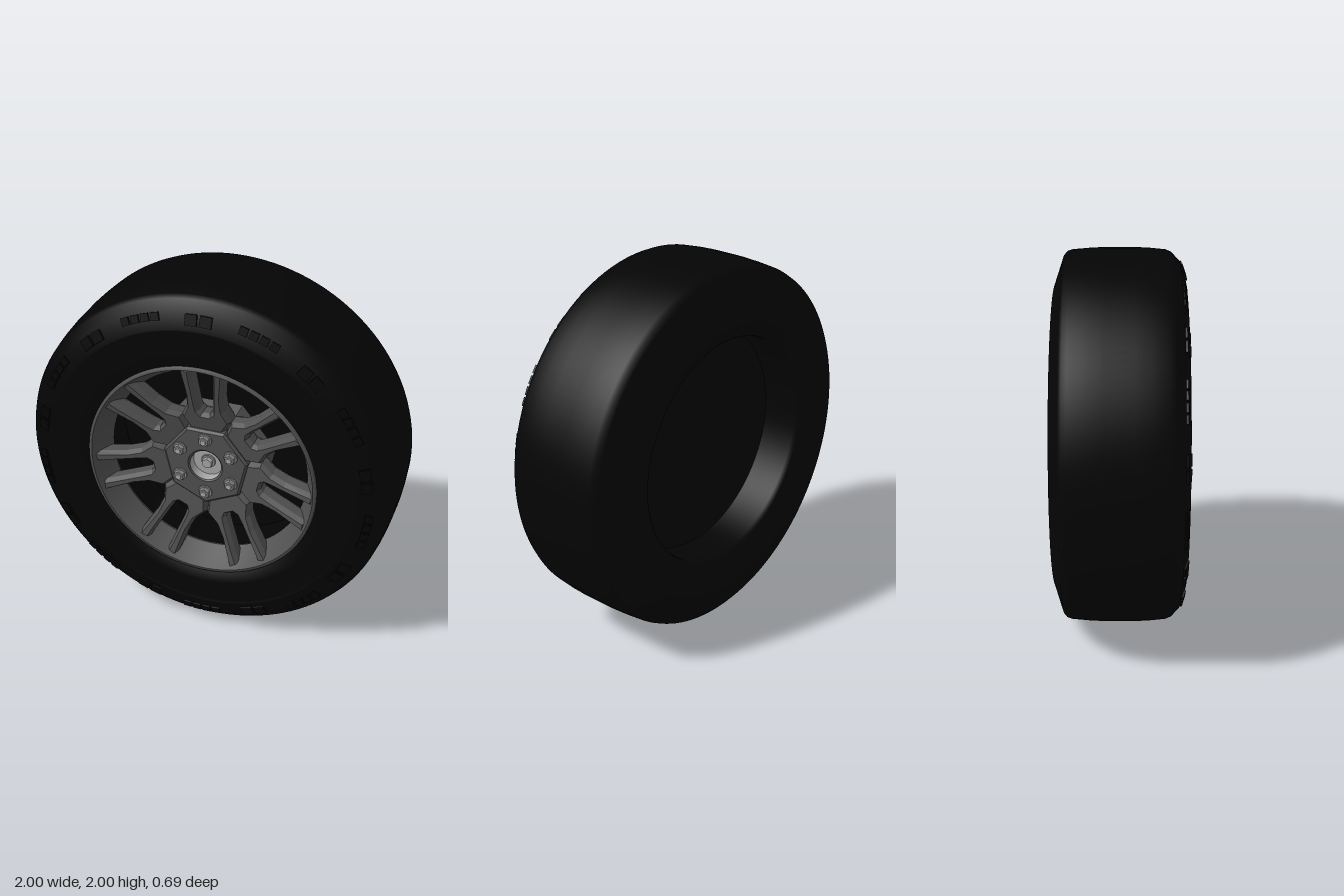
import * as THREE from 'three';

const V = (x, y) => new THREE.Vector2(x, y);

export function createModel() {
  const mat = (name, color) => {
    const m = new THREE.MeshStandardMaterial({ color });
    m.name = name;
    return m;
  };
  const rubber = mat('black rubber', 0x040404);
  const alloy = mat('dark grey alloy', 0x505050);
  const steel = mat('steel', 0x858585);
  const bright = mat('bright metal', 0xa8a8a8);

  const model = new THREE.Group();
  model.name = 'wheel';
  const wheel = new THREE.Group();
  wheel.name = 'wheelAssembly';
  wheel.position.y = 1;
  model.add(wheel);

  const add = (name, geo, material, parent = wheel) => {
    const m = new THREE.Mesh(geo, material);
    m.name = name;
    parent.add(m);
    return m;
  };
  // Profiles are [radius, z] pairs spun about the axle
  const spin = (pts, seg = 96) =>
    new THREE.LatheGeometry(pts.map(p => V(p[0], p[1])), seg).rotateX(Math.PI / 2);
  // Cylinder or prism along z, from z0 to z1
  const disc = (rFront, rBack, z0, z1, sides) =>
    new THREE.CylinderGeometry(rFront, rBack, z1 - z0, sides)
      .rotateX(Math.PI / 2).translate(0, 0, (z0 + z1) / 2);
  const sharp = geo => {
    const g = geo.toNonIndexed();
    g.computeVertexNormals();
    return g;
  };

  // Tyre, from the back recess round the tread to the front bead
  add('tyre', spin([
    [0.615, -0.07], [0.618, -0.29], [0.622, -0.305], [0.632, -0.315], [0.7, -0.335],
    [0.715, -0.342], [0.795, -0.345], [0.805, -0.343],
    [0.96, -0.292], [0.98, -0.275], [0.988, -0.25], [0.996, -0.16], [1, -0.08],
    [1, 0.08], [0.996, 0.16], [0.988, 0.24], [0.975, 0.27], [0.93, 0.312],
    [0.84, 0.342], [0.83, 0.342], [0.822, 0.336], [0.812, 0.342],
    [0.7, 0.338], [0.63, 0.325], [0.615, 0.29]
  ], 128), rubber);

  // Sidewall blocks: alternating pairs and rows of four, nine times round
  const sidewall = new THREE.Group();
  sidewall.name = 'sidewallBlocks';
  wheel.add(sidewall);
  const block = (angle, w, h, r) => {
    const arm = new THREE.Group();
    arm.rotation.z = angle;
    sidewall.add(arm);
    const b = add('sidewallBlock', new THREE.BoxGeometry(w, h, 0.018), rubber, arm);
    b.position.set(0, r, 0.327 + (0.89 - r) * 0.333);
    b.rotation.x = -0.322;
  };
  for (let i = 0; i < 9; i++) {
    const a = i * Math.PI * 2 / 9;
    for (const s of [-1, 1]) block(a + s * 0.043, 0.062, 0.058, 0.892);
    for (let k = 0; k < 4; k++) block(a + Math.PI / 9 + (k - 1.5) * 0.062, 0.044, 0.042, 0.905);
  }

  // Rim: narrow flange, deep cone, black barrel and closing plate
  add('rimFlange', spin([[0.632, 0.3], [0.628, 0.336], [0.612, 0.338]]), alloy);
  add('rimCone', spin([[0.612, 0.338], [0.58, 0.27], [0.543, 0.2]]), alloy);
  add('rimStep', spin([[0.543, 0.2], [0.55, 0.185]]), alloy);
  add('barrel', spin([[0.55, 0.19], [0.6, -0.075]]), rubber);
  add('backPlate', disc(0.62, 0.62, -0.095, -0.07, 96), rubber);

  // Double spokes: open two-armed forks, sloping out to the lip
  const fork = new THREE.Shape([
    V(0.085, 0.19), V(0.135, 0.28), V(0.103, 0.35), V(0.1, 0.43), V(0.122, 0.608), V(0.058, 0.602),
    V(0.055, 0.54), V(0.042, 0.37), V(0.036, 0.33), V(0.02, 0.313),
    V(-0.02, 0.313), V(-0.036, 0.33), V(-0.042, 0.37), V(-0.055, 0.54),
    V(-0.058, 0.602), V(-0.122, 0.608), V(-0.1, 0.43), V(-0.103, 0.35), V(-0.135, 0.28), V(-0.085, 0.19)
  ]);
  const spokeGeo = new THREE.ExtrudeGeometry(fork, {
    depth: 0.06, bevelEnabled: true, bevelThickness: 0.028, bevelSize: 0.016,
    bevelOffset: -0.016, bevelSegments: 1
  });
  const p = spokeGeo.attributes.position;
  for (let i = 0; i < p.count; i++) {
    p.setZ(i, p.getZ(i) + 0.142 + Math.max(0, p.getY(i) - 0.2) * 0.22);
  }
  spokeGeo.computeVertexNormals();
  for (let i = 0; i < 7; i++) {
    add('doubleSpoke', spokeGeo, alloy).rotation.z = i * Math.PI * 2 / 7;
  }

  // Seven-sided hub with a round bore, over a deeper web
  const hub = new THREE.Shape(Array.from({ length: 7 }, (_, i) => {
    const a = Math.PI / 2 + (i + 0.5) * Math.PI * 2 / 7;
    return V(Math.cos(a) * 0.24, Math.sin(a) * 0.24);
  }));
  hub.holes.push(new THREE.Path().absarc(0, 0, 0.085, 0, Math.PI * 2, true));
  add('hub', new THREE.ExtrudeGeometry(hub, {
    depth: 0.1, bevelEnabled: true, bevelThickness: 0.012, bevelSize: 0.012,
    bevelOffset: -0.012, bevelSegments: 1, curveSegments: 20
  }).translate(0, 0, 0.14), alloy);
  add('hubWeb', sharp(disc(0.3, 0.345, 0.09, 0.185, 7)), alloy);

  // Recessed centre cap with its sleeve and bolt
  add('capSleeve', spin([[0.085, 0.253], [0.084, 0.19]], 40), bright);
  add('centreCap', disc(0.085, 0.085, 0.15, 0.2, 40), bright);
  add('capBoltWasher', disc(0.038, 0.04, 0.2, 0.208, 24), steel);
  add('capBolt', sharp(disc(0.028, 0.03, 0.2, 0.232, 6)), bright);

  // Six lug nuts
  for (let i = 0; i < 6; i++) {
    const a = Math.PI / 2 + i * Math.PI / 3;
    const nut = new THREE.Group();
    nut.name = 'lugNut';
    nut.position.set(Math.cos(a) * 0.163, Math.sin(a) * 0.163, 0.25);
    wheel.add(nut);
    add('nutSeat', disc(0.037, 0.039, 0, 0.008, 20), steel, nut);
    add('nutBody', sharp(disc(0.028, 0.031, 0.006, 0.03, 6)), steel, nut);
    add('studEnd', disc(0.015, 0.016, 0.028, 0.038, 12), bright, nut);
  }
  return model;
}
